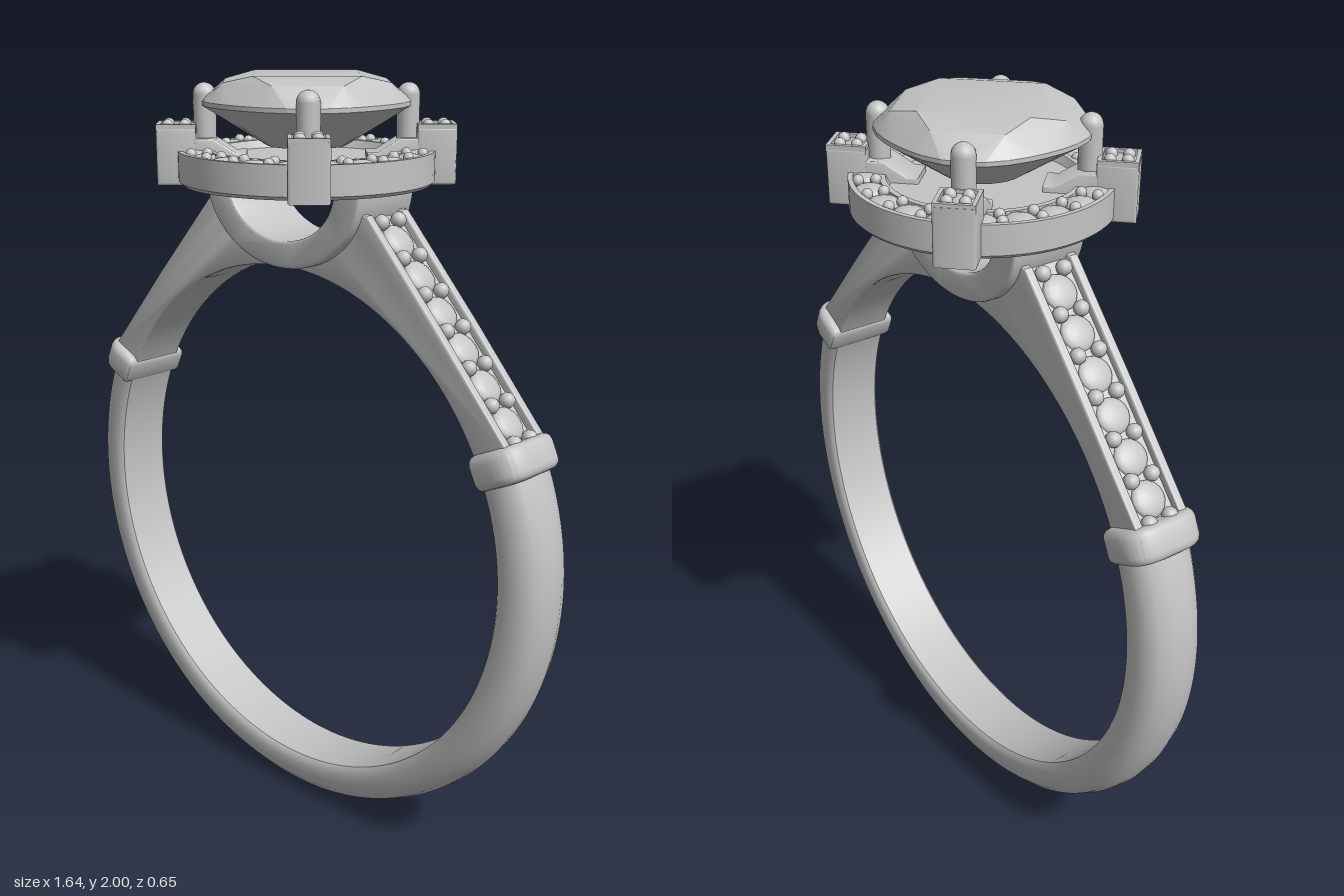
import * as THREE from 'three';
import { toCreasedNormals } from 'three/addons/utils/BufferGeometryUtils.js';
import { ConvexGeometry } from 'three/addons/geometries/ConvexGeometry.js';

const RING_Y = 0.82, INNER = 0.705, DEG = Math.PI / 180;
const metal = new THREE.MeshStandardMaterial({ color: 0xc4c4c4 });
metal.name = 'light grey metal';

function add(parent, name, geometry, x = 0, y = 0, z = 0) {
  const mesh = new THREE.Mesh(geometry, metal);
  mesh.name = name;
  mesh.position.set(x, y, z);
  parent.add(mesh);
  return mesh;
}

// Extrusion centred on z
function slab(shape, depth, bevel = 0) {
  const g = new THREE.ExtrudeGeometry(shape, {
    depth: depth - 2 * bevel, curveSegments: 32, bevelEnabled: bevel > 0,
    bevelSize: bevel, bevelThickness: bevel, bevelOffset: -bevel, bevelSegments: 3,
  });
  g.translate(0, 0, -depth / 2 + bevel);
  return toCreasedNormals(g, 0.7);
}

const polygon = pts => new THREE.Shape(pts.map(p => new THREE.Vector2(...p)));

const lathe = (pts, segments, start, length) => toCreasedNormals(
  new THREE.LatheGeometry(pts.map(p => new THREE.Vector2(...p)), segments, start, length), 0.7);

const bead = r => new THREE.SphereGeometry(r, 12, 8);
const stone = (r, h) => new THREE.SphereGeometry(r, 16, 8).scale(1, h / r, 1);

// Side outline of a shoulder, its sloping edge lowered by drop
function shoulderShape(drop) {
  const pts = [];
  for (let a = 24; a <= 90; a += 3) {
    pts.push([INNER * Math.cos(a * DEG), RING_Y + INNER * Math.sin(a * DEG)]);
  }
  for (let a = -90; a <= -15; a += 5) {
    pts.push([0.24 * Math.cos(a * DEG), 1.735 + 0.18 * Math.sin(a * DEG)]);
  }
  pts.push([0.275 - drop, 1.685 - drop], [0.5 - drop, 1.44 - drop], [0.72 - drop, 1.19 - drop]);
  return polygon(pts);
}

// Collar wrapping the band: flat inside, well rounded outside
function collarGeometry() {
  const s = new THREE.Shape();
  s.moveTo(0.7, -0.09);
  s.quadraticCurveTo(0.7, -0.105, 0.715, -0.105);
  s.lineTo(0.76, -0.105);
  s.bezierCurveTo(0.805, -0.105, 0.833, -0.085, 0.833, -0.03);
  s.lineTo(0.833, 0.03);
  s.bezierCurveTo(0.833, 0.085, 0.805, 0.105, 0.76, 0.105);
  s.lineTo(0.715, 0.105);
  s.quadraticCurveTo(0.7, 0.105, 0.7, 0.09);
  return slab(s, 0.088, 0.022).rotateX(Math.PI / 2);
}

function createShoulder() {
  const g = new THREE.Group();
  g.name = 'shoulder';
  add(g, 'shoulderCore', slab(shoulderShape(0.014), 0.13));
  for (const s of [-1, 1]) add(g, 'channelRail', slab(shoulderShape(0), 0.024, 0.006), 0, 0, s * 0.066);
  // Stones and beads along the slope
  const row = new THREE.Group();
  row.name = 'shoulderStones';
  row.position.set(0.275, 1.685, 0);
  row.rotation.z = Math.atan2(-0.495, 0.445);
  g.add(row);
  const step = 0.104;
  for (let i = 0; i < 7; i++) {
    const x = 0.02 + i * step;
    if (i < 6) add(row, 'channelStone', stone(0.046, 0.018), x + step / 2, -0.019, 0);
    for (const s of [-1, 1]) add(row, 'channelBead', bead(0.02), x, -0.008, s * 0.031);
  }
  // Collar where the shoulder meets the plain band
  add(g, 'collar', collarGeometry(), 0, RING_Y, 0).rotation.z = 25.5 * DEG;
  return g;
}

// Radial claw arm with a beaded square end and a prong; it points along +x
function createClaw() {
  const g = new THREE.Group();
  g.name = 'claw';
  add(g, 'clawArm', slab(polygon([[0.15, 1.735], [0.3, 1.735], [0.3, 1.845], [0.233, 1.845], [0.177, 1.81], [0.15, 1.81]]), 0.098, 0.004));
  add(g, 'clawBlock', slab(polygon([[0.275, 1.73], [0.375, 1.73], [0.375, 1.871], [0.275, 1.871]]), 0.1, 0.007));
  const square = s => [[-s, -s], [s, -s], [s, s], [-s, s]];
  const frame = polygon(square(0.049));
  frame.holes.push(polygon(square(0.039)));
  add(g, 'clawFrame', slab(frame, 0.02).rotateX(-Math.PI / 2), 0.325, 1.87, 0);
  for (const x of [-1, 1]) for (const z of [-1, 1]) {
    add(g, 'clawBead', bead(0.015), 0.325 + x * 0.021, 1.875, z * 0.021);
  }
  add(g, 'prong', new THREE.CapsuleGeometry(0.029, 0.11, 6, 16), 0.255, 1.894, 0);
  return g;
}

// Faceted centre stone with a slightly squared outline
function createGem() {
  const pts = [];
  const ring = (n, r, y, offset, squareness = 0) => {
    for (let i = 0; i < n; i++) {
      const a = (i + offset) * 2 * Math.PI / n;
      const d = r + squareness * Math.sin(2 * a) ** 2;
      pts.push(new THREE.Vector3(d * Math.cos(a), y, d * Math.sin(a)));
    }
  };
  ring(4, 0.185, 2.0, 0);
  ring(8, 0.222, 1.982, 0.5);
  ring(32, 0.247, 1.935, 0, 0.016);
  ring(32, 0.247, 1.924, 0, 0.016);
  ring(32, 0.1, 1.825, 0);
  return toCreasedNormals(new ConvexGeometry(pts), 0.25);
}

export function createModel() {
  const model = new THREE.Group();
  model.name = 'ring';

  // Plain lower band, flat inside and softly rounded elsewhere
  const band = lathe([[INNER, -0.076], [0.712, -0.083], [0.73, -0.087], [0.755, -0.086], [0.782, -0.079], [0.803, -0.06],
    [0.815, -0.03], [0.819, 0], [0.815, 0.03], [0.803, 0.06], [0.782, 0.079], [0.755, 0.086], [0.73, 0.087],
    [0.712, 0.083], [INNER, 0.076], [INNER, -0.076]], 96, -115 * DEG, 230 * DEG);
  add(model, 'band', band.rotateX(Math.PI / 2), 0, RING_Y, 0);

  for (const turn of [0, Math.PI]) {
    const shoulder = createShoulder();
    shoulder.rotation.y = turn;
    model.add(shoulder);
  }

  // Curved strap carrying the head
  const strap = new THREE.Shape();
  strap.absellipse(0, 1.737, 0.27, 0.212, Math.PI, 2 * Math.PI, false);
  strap.absellipse(0, 1.737, 0.185, 0.142, 2 * Math.PI, Math.PI, true);
  add(model, 'cradle', slab(strap, 0.205, 0.008));

  // Halo with a shallow channel, and a boss beneath it
  add(model, 'halo', lathe([[0, 1.732], [0.316, 1.732], [0.325, 1.741], [0.325, 1.815], [0.312, 1.815], [0.312, 1.8],
    [0.25, 1.8], [0.25, 1.815], [0.235, 1.815], [0.225, 1.795], [0, 1.795]], 64));
  add(model, 'boss', new THREE.CylinderGeometry(0.085, 0.085, 0.04, 32), 0, 1.722, 0);

  // Four quarters: claw, halo stones and beads
  for (let q = 0; q < 4; q++) {
    const quarter = new THREE.Group();
    quarter.name = 'headQuarter';
    quarter.rotation.y = q * Math.PI / 2;
    model.add(quarter);
    const claw = createClaw();
    claw.rotation.y = Math.PI / 4;
    quarter.add(claw);
    for (const a of [-36, -18, 0, 18, 36]) {
      add(quarter, 'haloStone', stone(0.04, 0.018), 0.28 * Math.cos(a * DEG), 1.8, 0.28 * Math.sin(a * DEG));
    }
    for (const a of [-27, -9, 9, 27]) for (const r of [0.3, 0.258]) {
      add(quarter, 'haloBead', bead(0.014), r * Math.cos(a * DEG), 1.813, r * Math.sin(a * DEG));
    }
  }

  add(model, 'centreStone', createGem());
  return model;
}
